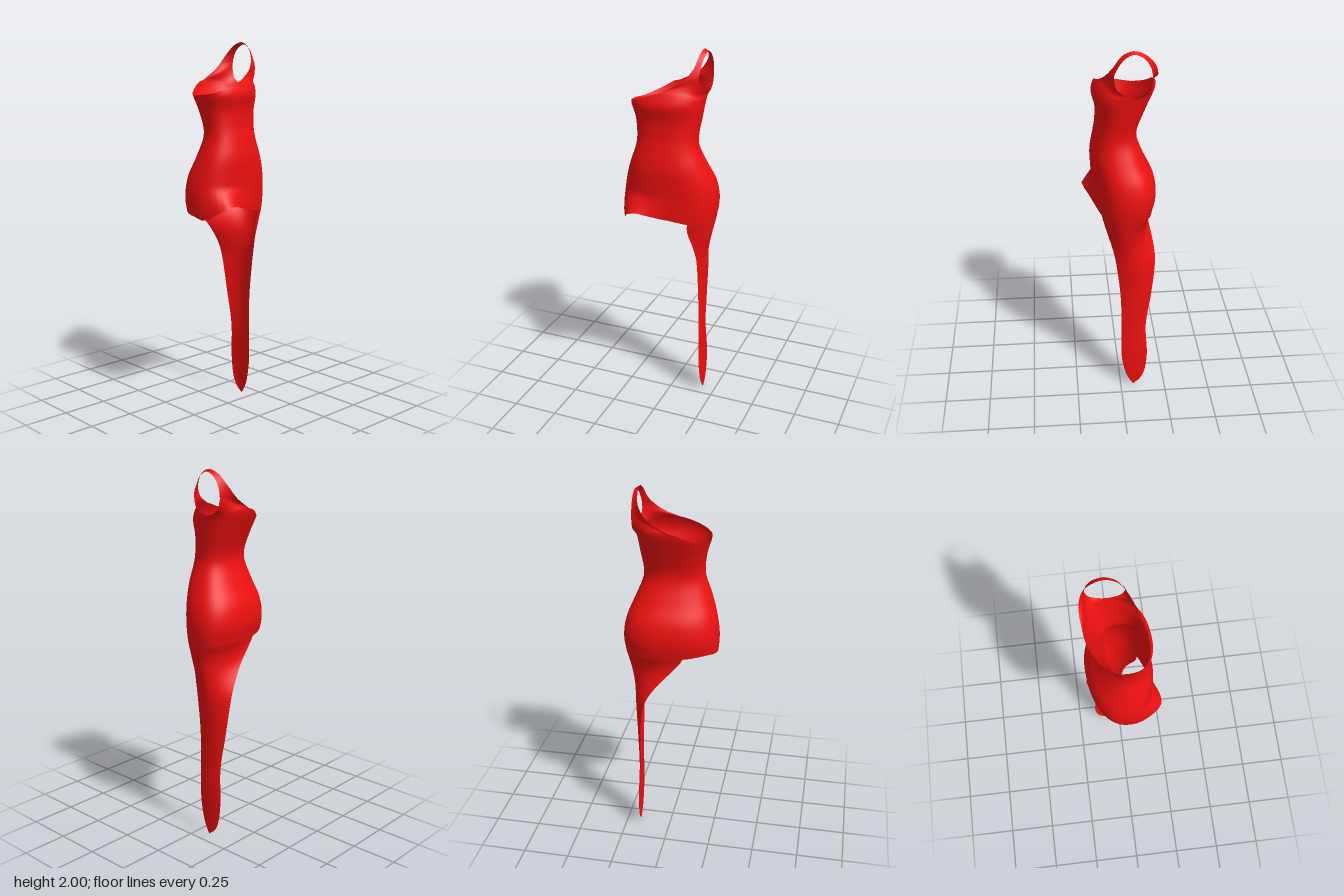
import * as THREE from 'three';
import { mergeGeometries, mergeVertices } from 'three/addons/utils/BufferGeometryUtils.js';

const V = (x, y, z) => new THREE.Vector3(x, y, z);
const { clamp, lerp, degToRad } = THREE.MathUtils;

// Smooth interpolation in a table of rows [key, value, value, ...]
function sample(table, key) {
  const n = table.length;
  const k = clamp(key, table[0][0], table[n - 1][0]);
  let i = 0;
  while (i < n - 2 && k > table[i + 1][0]) i++;
  const a = table[i], b = table[i + 1];
  const p = table[Math.max(i - 1, 0)], q = table[Math.min(i + 2, n - 1)];
  const h = b[0] - a[0], t = (k - a[0]) / h;
  return a.slice(1).map((v, c) => {
    const w = b[c + 1];
    const m0 = (w - p[c + 1]) / (b[0] - p[0]) * h, m1 = (q[c + 1] - v) / (q[0] - a[0]) * h;
    return v + t * (m0 + t * (3 * (w - v) - 2 * m0 - m1 + t * (2 * (v - w) + m0 + m1)));
  });
}

// Surface from point(row, column)
function grid(rows, cols, point) {
  const pos = [], index = [];
  for (let i = 0; i <= rows; i++) {
    for (let j = 0; j <= cols; j++) {
      pos.push(...point(i, j).toArray());
      if (i < rows && j < cols) {
        const a = i * (cols + 1) + j, c = a + cols + 1;
        index.push(a, c, a + 1, a + 1, c, c + 1);
      }
    }
  }
  const g = new THREE.BufferGeometry();
  g.setAttribute('position', new THREE.Float32BufferAttribute(pos, 3));
  g.setIndex(index);
  return g;
}

// Body extents: height, min x, max x, min z, max z
const BODY = [
  [0.9, -0.17, 0.1, -0.2, 0.22],
  [1.05, -0.165, 0.12, -0.23, 0.235],
  [1.1, -0.17, 0.13, -0.24, 0.245],
  [1.2, -0.19, 0.138, -0.25, 0.25],
  [1.3, -0.178, 0.145, -0.235, 0.235],
  [1.4, -0.13, 0.148, -0.195, 0.205],
  [1.5, -0.092, 0.132, -0.155, 0.17],
  [1.56, -0.092, 0.122, -0.15, 0.165],
  [1.65, -0.125, 0.12, -0.16, 0.177],
  [1.73, -0.16, 0.138, -0.17, 0.2],
  [1.78, -0.18, 0.122, -0.175, 0.2],
  [1.85, -0.19, 0.085, -0.178, 0.2],
];
// Hem and top edge heights by angle (0 = +x, 90 = +z)
const HEM = [[0, 1.13], [25, 1.16], [45, 1.14], [70, 1.085], [90, 1.1], [130, 1.12],
  [165, 1.11], [200, 1.1], [300, 1.1], [330, 1.1], [360, 1.13]];
const TOP = [[0, 1.8], [30, 1.765], [60, 1.74], [90, 1.73], [120, 1.725], [150, 1.75], [180, 1.8],
  [210, 1.79], [240, 1.765], [270, 1.755], [300, 1.765], [330, 1.79], [360, 1.8]];
// Train: height, left x and z, right x and z, outward bulge
const TRAIN = [
  [0, -0.075, -0.176, -0.07, -0.176, 0],
  [0.03, -0.11, -0.174, -0.05, -0.174, 0.003],
  [0.08, -0.135, -0.172, -0.028, -0.172, 0.006],
  [0.2, -0.15, -0.17, -0.006, -0.17, 0.008],
  [0.4, -0.142, -0.16, -0.005, -0.168, 0.012],
  [0.6, -0.17, -0.15, 0.0, -0.166, 0.022],
  [0.8, -0.19, -0.13, 0.022, -0.165, 0.042],
  [0.9, -0.182, -0.09, 0.04, -0.162, 0.07],
  [1.0, -0.165, -0.04, 0.065, -0.15, 0.12],
  [1.1, -0.165, 0.03, 0.1, -0.11, 0.2],
];

const COLS = 48, STEP = 360 / COLS;
const pow = (v) => Math.sign(v) * Math.abs(v) ** 0.84;

// Point on the body at an angle in degrees and a height
function bodyPoint(deg, y) {
  const [x0, x1, z0, z1] = sample(BODY, y);
  const a = degToRad(deg);
  const dz = pow(Math.sin(a)) * (z1 - z0) / 2;
  const x = (x0 + x1) / 2 + pow(Math.cos(a)) * (x1 - x0) / 2 * 0.98 + 0.1 * dz;
  const off = ((deg - 35 + 540) % 360) - 180;
  const flare = 0.07 * Math.exp(-((off / 28) ** 2)) * clamp((1.25 - y) / 0.1, 0, 1);
  return V(x + flare, y, (z0 + z1) / 2 + dz);
}
const hem = (deg) => sample(HEM, deg)[0];
const rim = (j) => bodyPoint((j % COLS) * STEP, sample(TOP, (j % COLS) * STEP)[0]);

// Fitted body from hem to top edge
function makeBody() {
  const rows = 40;
  return grid(rows, COLS, (i, j) => {
    const deg = (j % COLS) * STEP;
    return bodyPoint(deg, lerp(hem(deg), sample(TOP, deg)[0], i / rows));
  });
}

// Long train hanging from one side of the hem
function makeTrain() {
  const rows = 50, first = 22, cols = 22;
  return grid(rows, cols, (i, j) => {
    const deg = (first + j) * STEP, s = i / rows, u = j / cols;
    const y = hem(deg) * s;
    const [xl, zl, xr, zr, bulge] = sample(TRAIN, 1.1 * s);
    const sheet = V(lerp(xl, xr, u), y, lerp(zl, zr, u) - bulge * 4 * u * (1 - u));
    const blend = clamp((1.1 * s - 0.85) / 0.25, 0, 1) ** 2;
    return sheet.lerp(bodyPoint(deg, y), blend);
  });
}

// Shoulder strap: a ring between the neckline and the armhole
function makeStrap() {
  const half = COLS / 2, rows = 6;
  const neckline = new THREE.CatmullRomCurve3([
    rim(half), V(-0.19, 1.86, -0.09), V(-0.168, 1.93, -0.14), V(-0.12, 1.98, -0.152), V(-0.06, 2, -0.155),
    V(-0.005, 1.975, -0.15), V(0.035, 1.915, -0.135), V(0.075, 1.85, -0.08), rim(0),
  ]);
  const front = V(0.035, 1.86, -0.165), back = V(-0.155, 1.86, -0.178);
  const under = new THREE.CatmullRomCurve3([
    front, V(0.02, 1.81, -0.17), V(-0.02, 1.78, -0.174), V(-0.06, 1.772, -0.176),
    V(-0.105, 1.782, -0.178), V(-0.14, 1.81, -0.178), back,
  ]);
  const over = new THREE.CatmullRomCurve3([
    back, V(-0.15, 1.9, -0.178), V(-0.135, 1.94, -0.178), V(-0.105, 1.973, -0.178), V(-0.06, 1.988, -0.176),
    V(-0.012, 1.96, -0.172), V(0.02, 1.91, -0.166), V(0.032, 1.885, -0.165), front,
  ]);
  return grid(rows, COLS, (i, j) => {
    const lower = j <= half;
    const t = lower ? j / half : (j - half) / half;
    const inner = (lower ? under : over).getPoint(t);
    const outer = lower ? rim(COLS - j) : neckline.getPoint(t);
    return inner.lerp(outer, i / rows);
  });
}

export function createModel() {
  // The pieces are welded so the cloth shades as one surface
  const geometry = mergeVertices(mergeGeometries([makeBody(), makeTrain(), makeStrap()]), 1e-4);
  geometry.computeVertexNormals();
  const cloth = new THREE.MeshStandardMaterial({ color: 0xee1010, side: THREE.DoubleSide });
  const dress = new THREE.Mesh(geometry, cloth);
  dress.name = 'dress';
  const group = new THREE.Group();
  group.name = 'oneShoulderDress';
  group.add(dress);
  return group;
}
